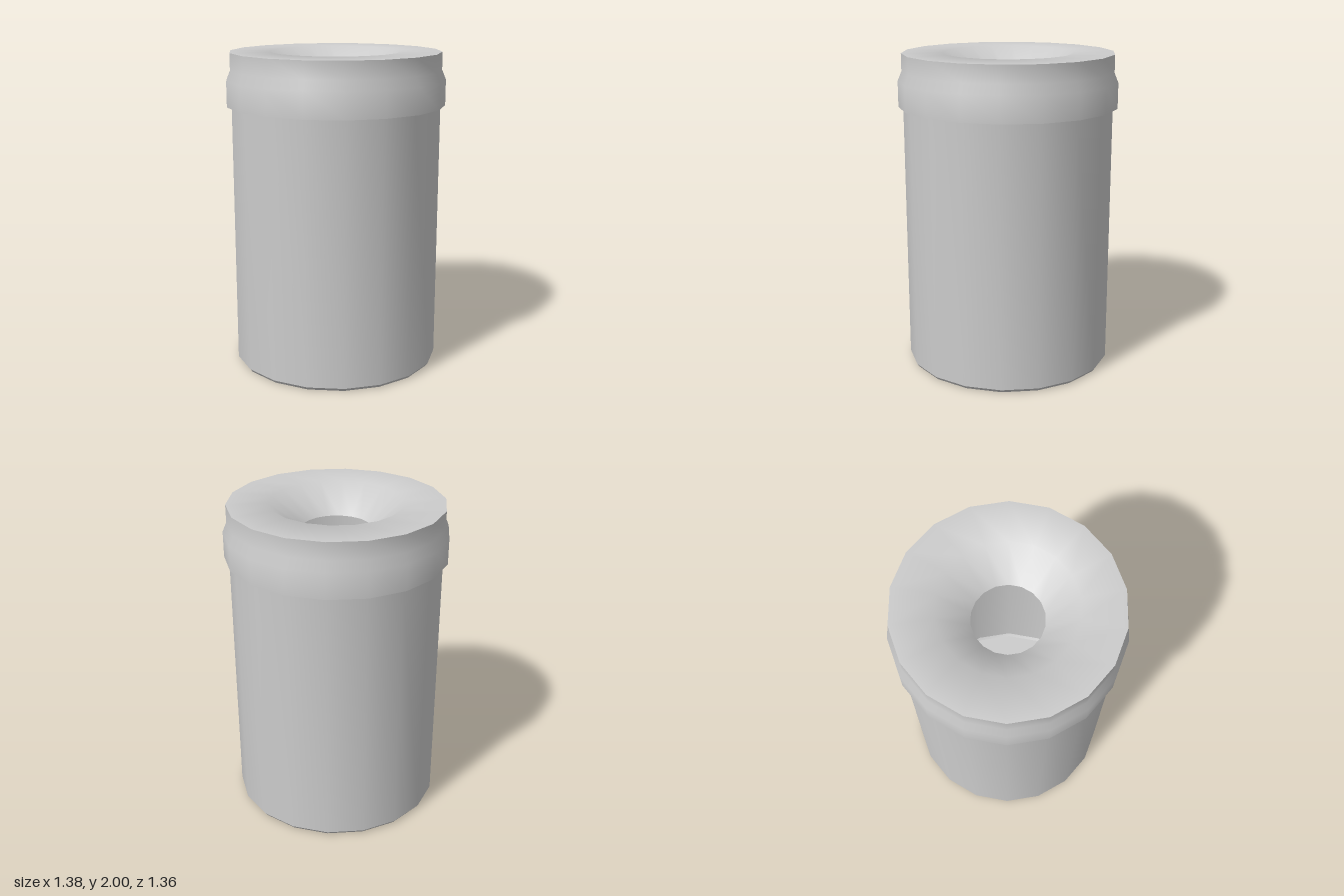
import * as THREE from 'three';
import { toCreasedNormals } from 'three/addons/utils/BufferGeometryUtils.js';

const SIDES = 18;
const material = new THREE.MeshStandardMaterial({ color: 0xcccccc, side: THREE.DoubleSide });

// Turn a [radius, height] profile around y, with a corner of the polygon on the x axis
function turned(name, profile, creaseAngle) {
  const points = profile.map(([r, y]) => new THREE.Vector2(r, y));
  const lathe = new THREE.LatheGeometry(points, SIDES, Math.PI / 2);
  const mesh = new THREE.Mesh(toCreasedNormals(lathe, creaseAngle), material);
  mesh.name = name;
  return mesh;
}

export function createModel() {
  const model = new THREE.Group();
  model.name = 'canister';

  // Hollow can with a closed, slightly chamfered bottom
  model.add(turned('body', [[0, 0], [0.645, 0], [0.66, 0.02], [0.66, 1.69]], 0.5));

  // Stepped collar whose flat top sinks into an open funnel
  model.add(turned('funnelLid', [
    [0.66, 1.67], [0.69, 1.67], [0.69, 1.83], [0.665, 1.89],
    [0.665, 2], [0.41, 2], [0.215, 1.835],
  ], 0.8));

  return model;
}
